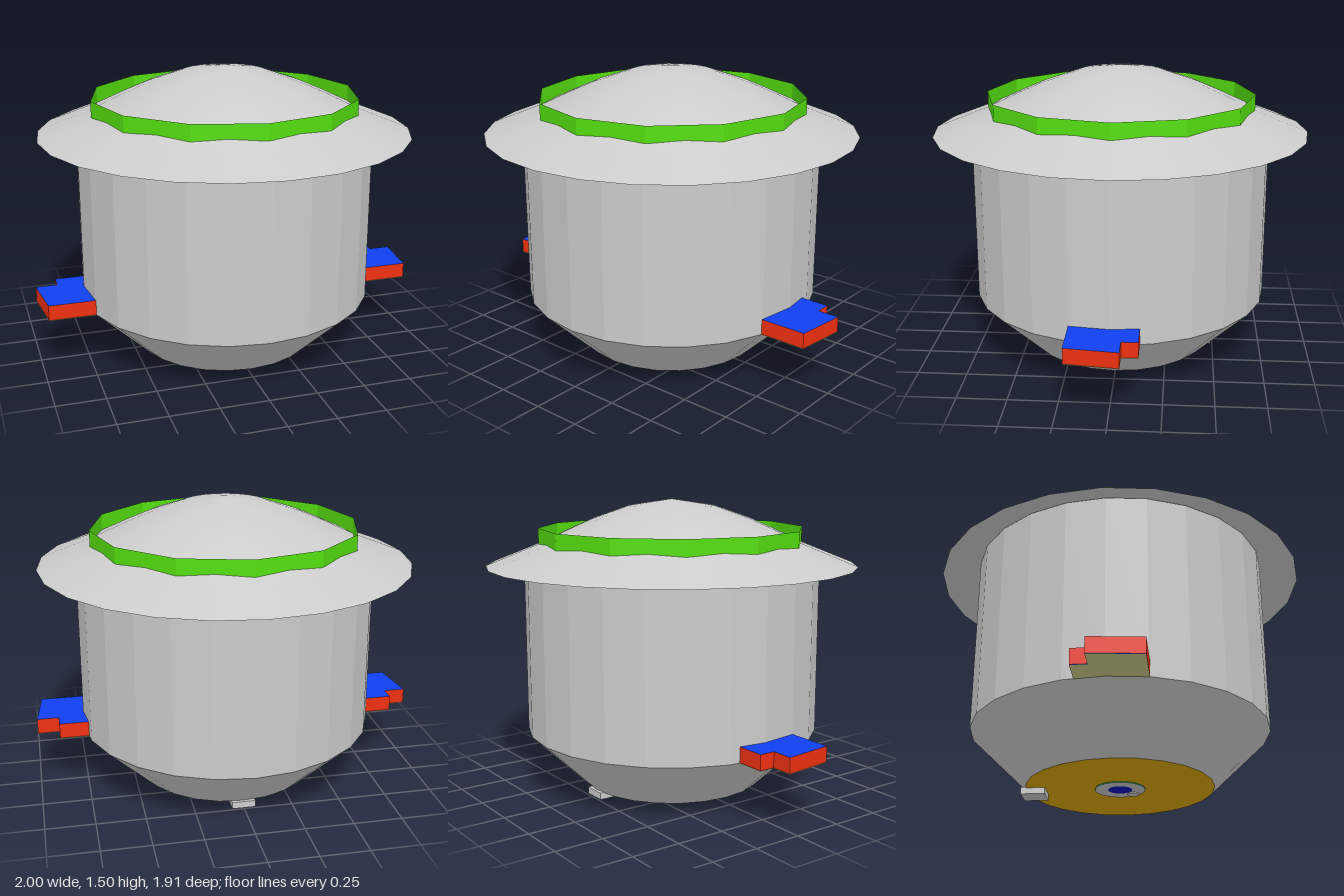
import * as THREE from 'three';

const SIDES = 24;
const mat = (color = 0xcccccc, flatShading = false) =>
  new THREE.MeshStandardMaterial({ color, flatShading, side: THREE.DoubleSide });

function add(parent, name, geometry, material, x = 0, y = 0, z = 0) {
  const mesh = new THREE.Mesh(geometry, material);
  mesh.name = name;
  mesh.position.set(x, y, z);
  parent.add(mesh);
  return mesh;
}

const lathe = (points, sides = SIDES) =>
  new THREE.LatheGeometry(points.map(([r, y]) => new THREE.Vector2(r, y)), sides);

// flat disc or ring facing down
const downDisc = (inner, outer) =>
  (inner > 0 ? new THREE.RingGeometry(inner, outer, SIDES) : new THREE.CircleGeometry(outer, SIDES))
    .rotateX(Math.PI / 2);

// stepped side handle, outlined in plan as [x, z]
function createHandle(side) {
  const plan = [[0.72, 0.2], [0.97, 0.2], [1, -0.06], [0.89, -0.06], [0.89, -0.14], [0.73, -0.14]];
  const shape = new THREE.Shape(plan.map(([x, z]) => new THREE.Vector2(side * x, -z)));
  const handle = new THREE.Group();
  handle.name = side > 0 ? 'leftHandle' : 'rightHandle';
  const block = new THREE.ExtrudeGeometry(shape, { depth: 0.078, bevelEnabled: false }).rotateX(-Math.PI / 2);
  add(handle, 'handleBlock', block, [mat(0x1040f0), mat(0xf03010)], 0, 0.312);
  const underside = new THREE.ShapeGeometry(shape).rotateX(Math.PI / 2).scale(1, 1, -1);
  add(handle, 'handleUnderside', underside, mat(0xcccc88), 0, 0.309);
  return handle;
}

export function createModel() {
  const model = new THREE.Group();
  model.name = 'pot';

  // faceted body and tapered base
  add(model, 'body', lathe([[0.76, 0.31], [0.76, 1.245]]), mat(0xcccccc, true));
  add(model, 'taperedBase', lathe([[0.47, 0.03], [0.76, 0.31]]), mat(0xcccccc, true));
  add(model, 'basePlate', downDisc(0, 0.47), mat(0xe0a808), 0, 0.03);

  // domed lid with a wide sloping brim
  const lid = [[0.955, 1.17], [0.76, 1.248], [0.68, 1.28], [0.53, 1.352], [0.41, 1.405], [0.22, 1.472], [0, 1.505]];
  add(model, 'lid', lathe(lid), mat());

  // thin upright ring around the dome
  add(model, 'lidRing', lathe([[0.685, 1.255], [0.685, 1.36]], 12), mat(0x55e010, true));

  // fitting under the base
  add(model, 'drainRim', lathe([[0.125, 0.025], [0.125, 0.03]]), mat(0x20a050));
  add(model, 'drainRing', downDisc(0.06, 0.125), mat(0xffffff), 0, 0.025);
  add(model, 'drainCentre', downDisc(0, 0.06), mat(0x1010c0), 0, 0.025);
  add(model, 'drainPin', new THREE.CylinderGeometry(0.03, 0.03, 0.01, 12), mat(), 0.07, 0.024, 0.06);

  // small block foot at the back
  add(model, 'rearFoot', new THREE.BoxGeometry(0.12, 0.035, 0.12), mat(), 0, 0.0175, -0.43);

  for (const side of [1, -1]) model.add(createHandle(side));
  return model;
}
